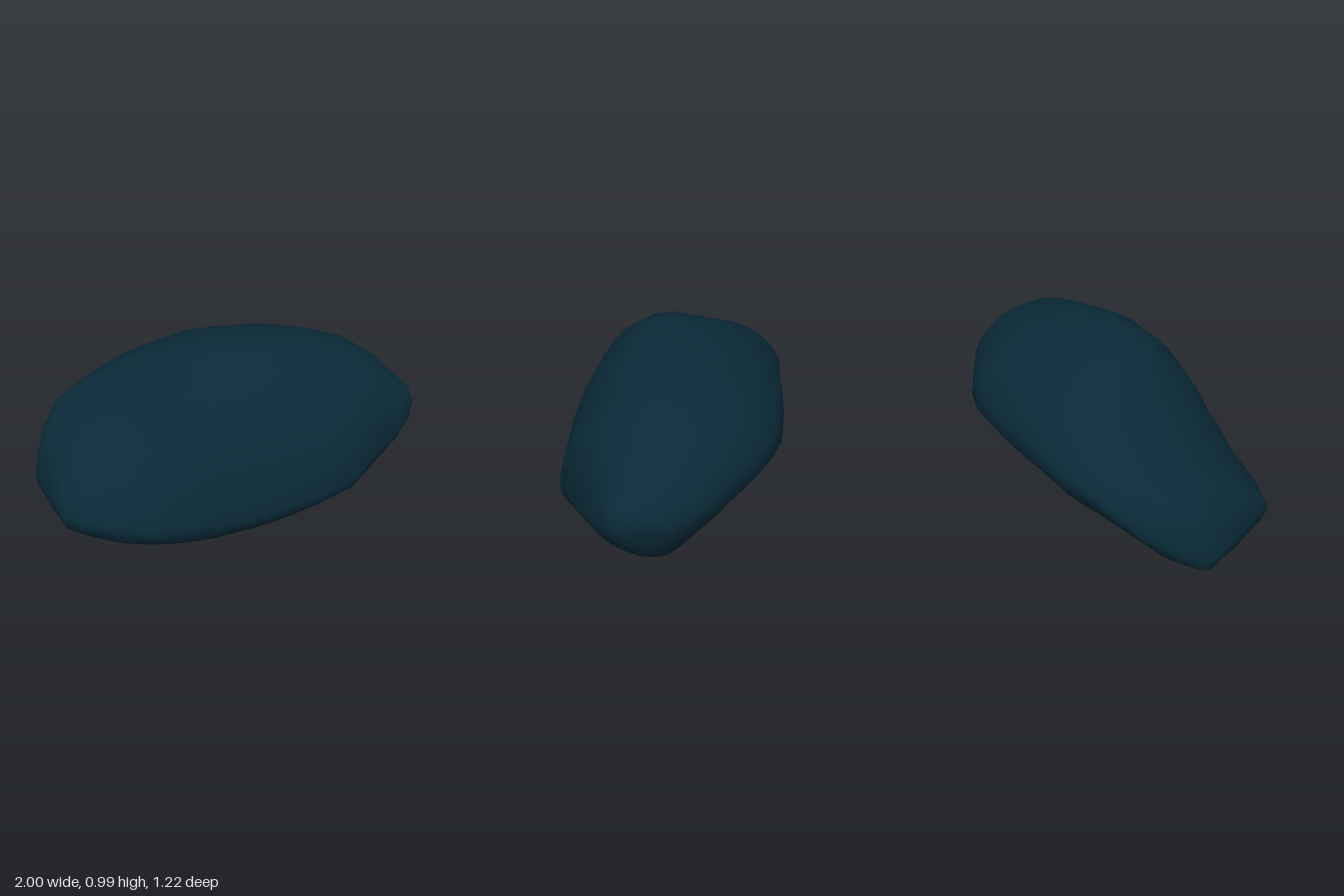
import * as THREE from 'three';
import { mergeVertices } from 'three/addons/utils/BufferGeometryUtils.js';

// Sections along the boulder: x, limits (bottom, top, back, front),
// then z of the bottom and top points, and y of the back and front points
const SECTIONS = [
  [-0.98, 0.19, 0.38, 0.06, 0.22, 0.14, 0.14, 0.29, 0.28],
  [-0.95, 0.17, 0.5, -0.04, 0.28, 0.13, 0.08, 0.35, 0.29],
  [-0.89, 0.12, 0.6, -0.17, 0.4, 0.16, 0, 0.44, 0.3],
  [-0.8, 0.09, 0.65, -0.26, 0.56, 0.2, -0.06, 0.5, 0.3],
  [-0.7, 0.055, 0.705, -0.33, 0.59, 0.21, -0.09, 0.54, 0.28],
  [-0.53, 0.01, 0.795, -0.43, 0.605, 0.23, -0.1, 0.56, 0.25],
  [-0.37, 0.005, 0.88, -0.475, 0.605, 0.25, -0.02, 0.56, 0.23],
  [-0.22, 0, 0.96, -0.525, 0.585, 0.26, 0.09, 0.56, 0.23],
  [-0.07, 0.01, 0.985, -0.565, 0.56, 0.24, 0.13, 0.55, 0.23],
  [0.16, 0.04, 0.975, -0.61, 0.52, 0.14, 0.08, 0.55, 0.26],
  [0.3, 0.065, 0.95, -0.6, 0.485, 0.07, 0.02, 0.55, 0.28],
  [0.44, 0.1, 0.92, -0.56, 0.44, -0.02, -0.05, 0.55, 0.3],
  [0.62, 0.145, 0.865, -0.5, 0.37, -0.11, -0.1, 0.55, 0.35],
  [0.8, 0.225, 0.75, -0.405, 0.165, -0.19, -0.12, 0.52, 0.4],
  [0.9, 0.31, 0.66, -0.3, 0.075, -0.16, -0.11, 0.5, 0.45],
  [0.97, 0.42, 0.6, -0.17, -0.02, -0.1, -0.1, 0.52, 0.5],
];
const TIPS = [[-1, 0.26, 0.16], [1, 0.52, -0.1]];
const SIDES = 32;

// Four rounded quarters joining the front, top, back and bottom points
function sectionPoint([x, y0, y1, z0, z1, zb, zt, yb, yf], j) {
  const angle = (j / SIDES) * Math.PI * 2;
  const c = Math.cos(angle), s = Math.sin(angle);
  const quarter = Math.floor((j * 4) / SIDES);
  // Fullness of each quarter; the upper front is hollower towards the right end
  const p = [1.7 + 0.3 * x, 1.9, 1.35 + 0.1 * x, 2][quarter];
  const r = (Math.abs(c) ** p + Math.abs(s) ** p) ** (-1 / p);
  const isFront = quarter === 0 || quarter === 3;
  const isUpper = quarter < 2;
  const cz = isUpper ? zt : zb;
  const cy = isFront ? yf : yb;
  const rz = Math.abs(cz - (isFront ? z1 : z0));
  const ry = Math.abs(cy - (isUpper ? y1 : y0));
  return [x, cy + ry * r * s, cz + rz * r * c];
}

function boulderGeometry() {
  const rings = SECTIONS.map((section) =>
    Array.from({ length: SIDES }, (_, j) => sectionPoint(section, j)));
  // Close both ends with single-point rings
  rings.unshift(Array(SIDES).fill(TIPS[0]));
  rings.push(Array(SIDES).fill(TIPS[1]));

  const index = [];
  for (let i = 1; i < rings.length; i++) {
    for (let j = 0; j < SIDES; j++) {
      const k = (j + 1) % SIDES;
      const a = (i - 1) * SIDES + j, b = (i - 1) * SIDES + k;
      const c = i * SIDES + j, d = i * SIDES + k;
      if (i < rings.length - 1) index.push(b, c, d);
      if (i > 1) index.push(a, c, b);
    }
  }
  let geometry = new THREE.BufferGeometry();
  geometry.setAttribute('position', new THREE.Float32BufferAttribute(rings.flat(2), 3));
  geometry.setIndex(index);
  geometry = mergeVertices(geometry, 1e-4);
  geometry.computeVertexNormals();
  return geometry;
}

export function createModel() {
  const group = new THREE.Group();
  group.name = 'rock';
  const boulder = new THREE.Mesh(
    boulderGeometry(),
    new THREE.MeshStandardMaterial({ color: 0x0a2a38 })
  );
  boulder.name = 'boulder';
  group.add(boulder);
  return group;
}
